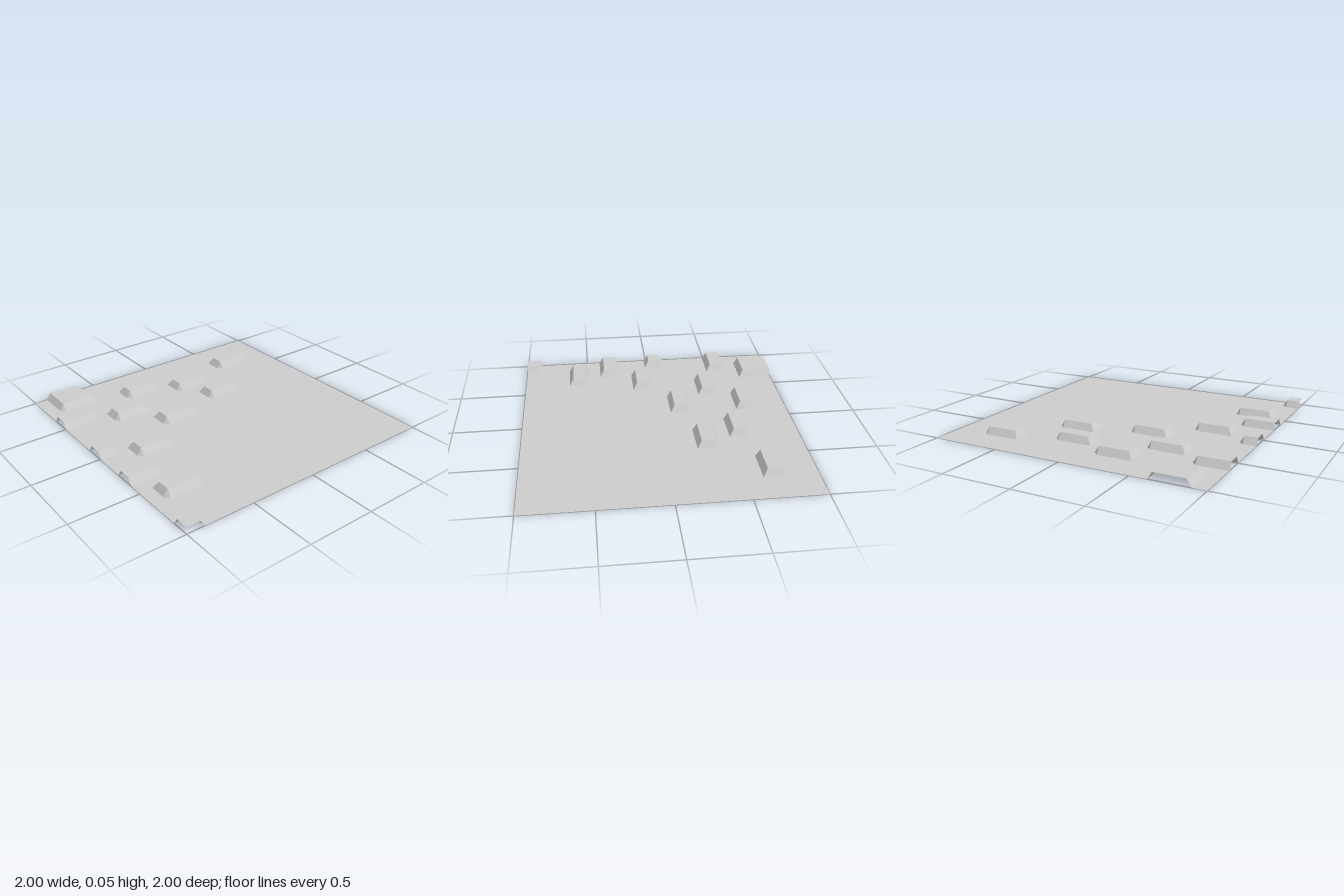
import * as THREE from 'three';

const SEGMENTS = 63; // the sheet is a 64 x 64 grid of points
const CELL = 4; // grid points per cell, so 16 x 16 cells
const HEIGHT = 0.051;

// Raised blocks in cells: [column, row, columns wide, rows long]
const BLOCKS = [
  [2, 2, 1, 2], [5, 5, 1, 2], [3, 6, 1, 2], [2, 9, 1, 2], [6, 9, 1, 2],
  [4, 11, 1, 2], [8, 12, 1, 2], [0, 13, 2, 2], [12, 13, 1, 2],
  // blocks cut open by the front edge
  [3, 14, 1, 2], [10, 14, 1, 2], [7, 15, 1, 1], [15, 15, 1, 1],
];

const isRaised = (ix, iz) => {
  const column = Math.floor(ix / CELL);
  const row = Math.floor(iz / CELL);
  return BLOCKS.some(([c, r, w, l]) => column >= c && column < c + w && row >= r && row < r + l);
};

export function createModel() {
  const group = new THREE.Group();
  group.name = 'terrainTile';

  const grey = new THREE.MeshStandardMaterial({
    name: 'lightGrey', color: 0xcccccc, flatShading: true, side: THREE.DoubleSide,
  });

  // Flat sheet whose points are lifted under each block; slopes span one grid step
  const geometry = new THREE.PlaneGeometry(2, 2, SEGMENTS, SEGMENTS).rotateX(-Math.PI / 2);
  const position = geometry.attributes.position;
  for (let i = 0; i < position.count; i++) {
    const ix = i % (SEGMENTS + 1);
    const iz = Math.floor(i / (SEGMENTS + 1));
    position.setY(i, isRaised(ix, iz) ? HEIGHT : 0);
  }
  geometry.computeVertexNormals();

  const sheet = new THREE.Mesh(geometry, grey);
  sheet.name = 'terrainSheet';
  group.add(sheet);
  return group;
}
